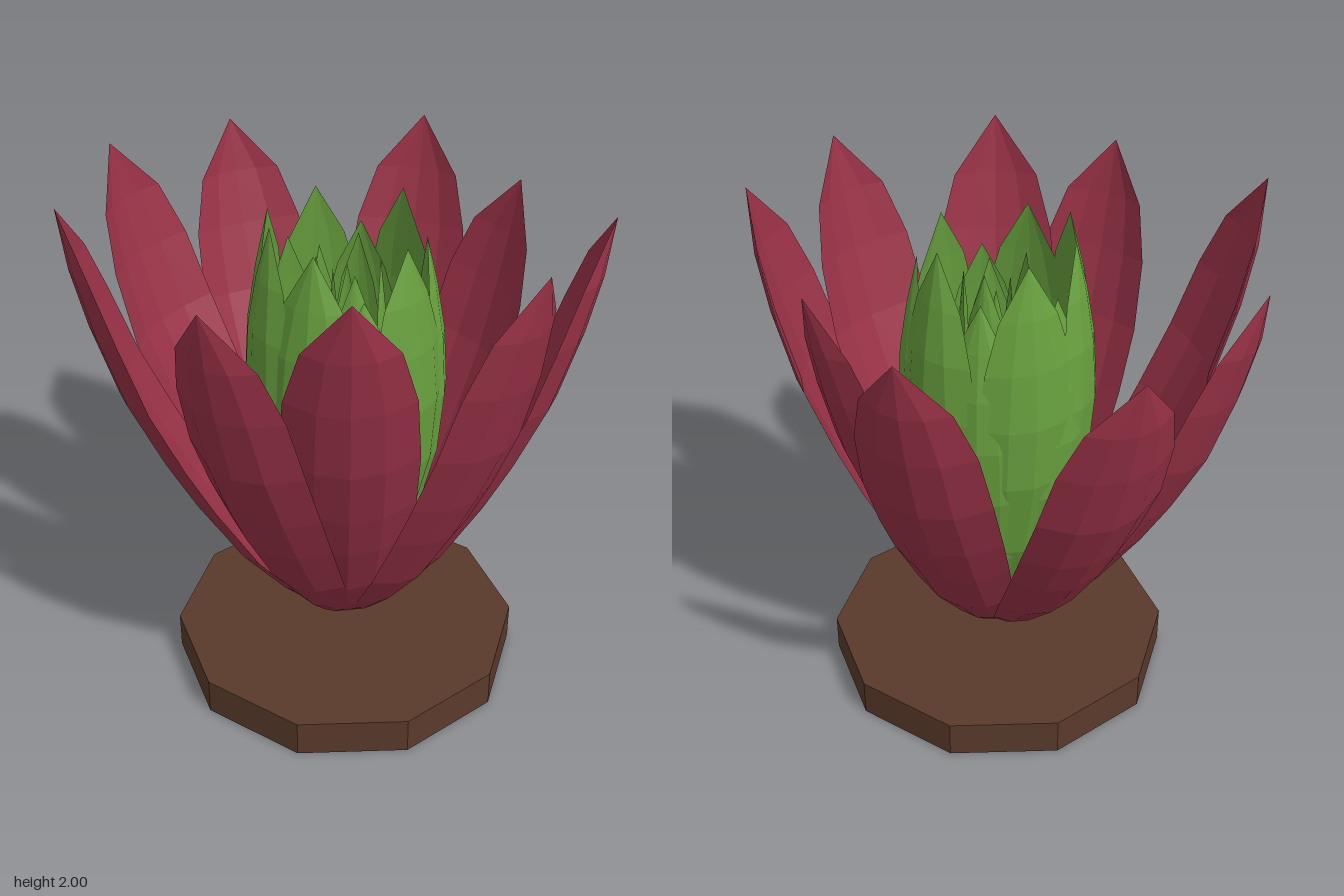
import * as THREE from 'three';

const BASE_Y = 0.15, CX = 0.037, CZ = 0.065;

// Profiles: [height fraction, radius fraction, half width]
const OUTER = [
  [0, 0, 0], [0.066, 0.18, 0.095], [0.11, 0.27, 0.135], [0.215, 0.44, 0.19], [0.36, 0.61, 0.22],
  [0.47, 0.72, 0.232], [0.61, 0.84, 0.235], [0.76, 0.925, 0.215], [0.88, 0.975, 0.158], [1, 1, 0],
];
const BUD = [
  [0, 0, 0], [0.14, 0.5, 0.09], [0.3, 0.95, 0.15], [0.5, 1.24, 0.195], [0.65, 1.31, 0.195],
  [0.78, 1.26, 0.165], [0.89, 1.15, 0.11], [1, 1, 0],
];
// Points around a cross-section: [across, 0 outer face / 1 inner face]
const RING = [[-1, 0], [-0.5, 0], [0, 0], [0.5, 0], [1, 0], [0.5, 1], [0, 1], [-0.5, 1]];

// A cupped, lens-thick pointed petal leaning along its profile
function petalGeometry(profile, angle, tipR, tipY, widthScale, cup, thick) {
  const H = tipY - BASE_Y, n = RING.length, rows = profile.length;
  const c = Math.cos(angle), s = Math.sin(angle);
  const pos = [], idx = [];
  profile.forEach(([t, rf, hw], i) => {
    const a = profile[Math.max(0, i - 1)], b = profile[Math.min(rows - 1, i + 1)];
    const dr = (b[1] - a[1]) * tipR, dy = (b[0] - a[0]) * H, len = Math.hypot(dr, dy);
    const w = hw * widthScale;
    for (const [u, inner] of RING) {
      const d = w * (cup * u * u + inner * thick * (1 - u * u));
      const r = rf * tipR - d * dy / len;
      const y = BASE_Y + t * H + d * dr / len;
      pos.push(CX + r * c - u * w * s, y, CZ + r * s + u * w * c);
    }
  });
  for (let i = 0; i < rows - 1; i++) {
    for (let j = 0; j < n; j++) {
      const k = (j + 1) % n;
      const p = i * n + j, q = i * n + k, P = p + n, Q = q + n;
      if (i < rows - 2) idx.push(p, P, Q);
      else idx.push(p, P, q);
      if (i > 0 && i < rows - 2) idx.push(p, Q, q);
    }
  }
  const g = new THREE.BufferGeometry();
  g.setAttribute('position', new THREE.Float32BufferAttribute(pos, 3));
  g.setIndex(idx);
  const flat = g.toNonIndexed(); // faceted normals
  flat.computeVertexNormals();
  return flat;
}

export function createModel() {
  const model = new THREE.Group();
  const red = new THREE.MeshStandardMaterial({ color: 0x9a3247 });
  red.name = 'petalRed';
  const green = new THREE.MeshStandardMaterial({ color: 0x68a03e });
  green.name = 'budGreen';
  const brown = new THREE.MeshStandardMaterial({ color: 0x5a3a2b });
  brown.name = 'baseBrown';

  // Ten-sided base disc
  const disc = new THREE.CylinderGeometry(0.66, 0.66, 0.145, 10).toNonIndexed();
  disc.computeVertexNormals();
  const base = new THREE.Mesh(disc, brown);
  base.name = 'base';
  base.position.set(CX, 0.0725, CZ);
  model.add(base);

  // Outer petals, placed by their tips
  const outer = new THREE.Group();
  outer.name = 'outerPetals';
  const tips = [
    [0.09, 1.885, -0.88], [0.54, 1.84, -0.49], [0.935, 1.965, -0.01],
    [0.795, 1.975, 0.48], [0.265, 1.98, 0.825], [-0.2, 1.91, 0.88],
    [-0.825, 2.0, 0.495], [-0.935, 1.925, -0.21], [-0.65, 1.85, -0.72],
  ];
  for (const [x, y, z] of tips) {
    const dx = x - CX, dz = z - CZ;
    const m = new THREE.Mesh(
      petalGeometry(OUTER, Math.atan2(dz, dx), Math.hypot(dx, dz), y, 1, 0.4, 0.12), red);
    m.name = 'outerPetal';
    outer.add(m);
  }
  model.add(outer);

  // Closing rings of bud leaves: tip radius, width scale, [angle, tip height] of each leaf
  const bud = new THREE.Group();
  bud.name = 'bud';
  const layers = [
    [0.28, 1, [[28, 1.86], [97, 1.865], [140, 1.9], [180, 1.88], [232, 1.88], [300, 1.9], [340, 1.8]]],
    [0.275, 0.8, [[62, 1.7], [206, 1.72], [266, 1.74]]],
    [0.12, 0.55, [[60, 1.72], [132, 1.77], [204, 1.74], [276, 1.77], [348, 1.73]]],
    [0.05, 0.3, [[20, 1.66], [140, 1.7], [260, 1.68]]],
  ];
  for (const [r, w, leaves] of layers) {
    for (const [deg, y] of leaves) {
      const m = new THREE.Mesh(
        petalGeometry(BUD, THREE.MathUtils.degToRad(deg), r, y, w, 0.4, 0.2), green);
      m.name = 'budLeaf';
      bud.add(m);
    }
  }
  model.add(bud);
  return model;
}
